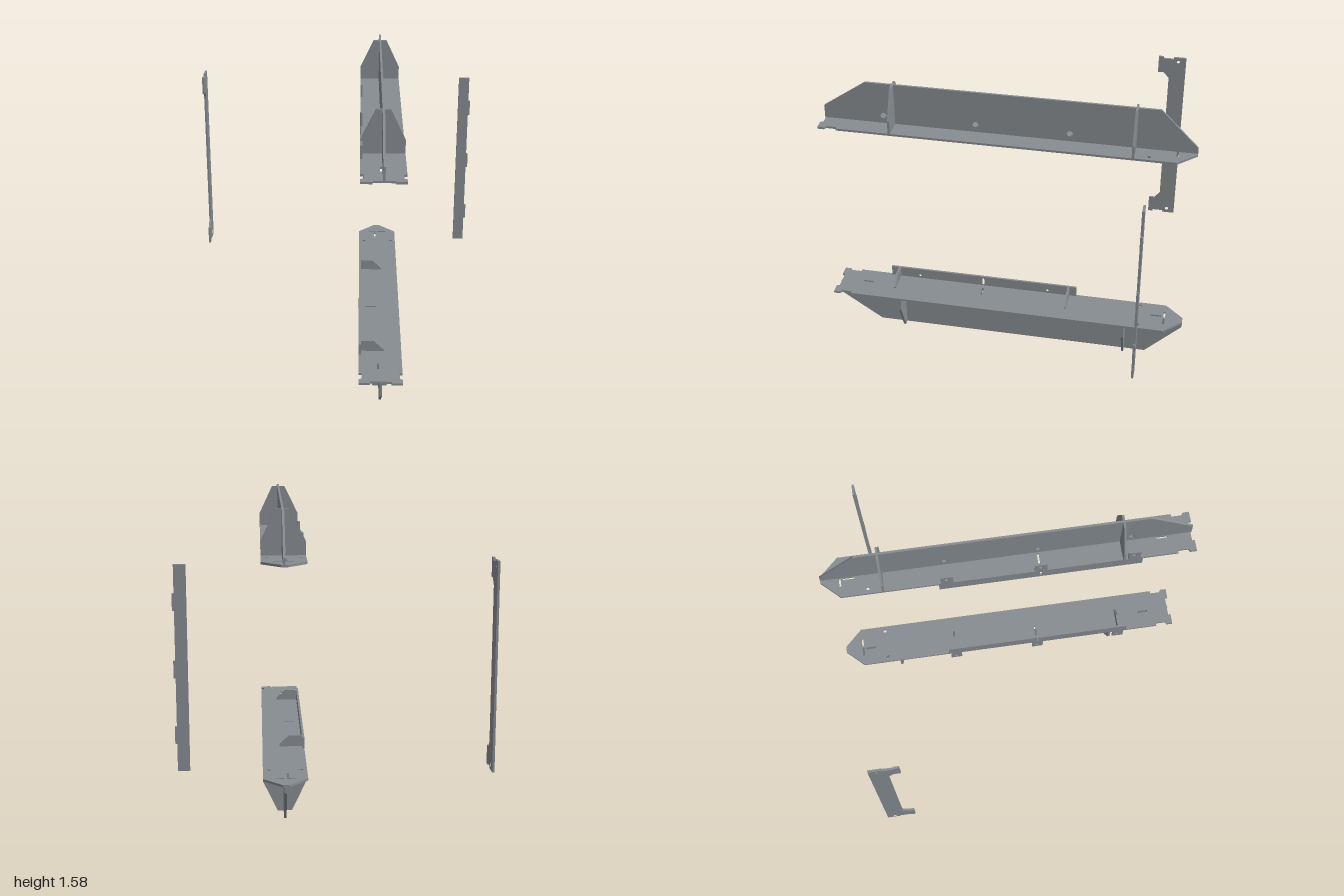
import * as THREE from 'three';

const material = new THREE.MeshStandardMaterial({ color: 0x868c91, flatShading: true });
const HEIGHT = 1.582;
const T = 0.012; // sheet thickness

// Hole outlines
const slot = (u0, v0, u1, v1) => [[u0, v0], [u1, v0], [u1, v1], [u0, v1]];
const round = (u, v, r) => Array.from({ length: 20 }, (_, i) => {
  const a = (i / 20) * Math.PI * 2;
  return [u + r * Math.cos(a), v + r * Math.sin(a)];
});

// Flat sheet cut from an outline; plane 'xy', 'zy' or 'xz', centred on `at` along its normal
function sheet(name, plane, at, outline, holes = []) {
  const toVectors = (pts) => pts.map(([u, v]) => new THREE.Vector2(u, v));
  const shape = new THREE.Shape(toVectors(outline));
  shape.holes = holes.map((h) => new THREE.Path(toVectors(h)));
  const geometry = new THREE.ExtrudeGeometry(shape, { depth: T, bevelEnabled: false });
  geometry.translate(0, 0, -T / 2);
  if (plane === 'zy') geometry.rotateY(-Math.PI / 2);
  if (plane === 'xz') geometry.rotateX(Math.PI / 2);
  const mesh = new THREE.Mesh(geometry, material);
  mesh.name = name;
  mesh.position[{ xy: 'z', zy: 'x', xz: 'y' }[plane]] = at;
  return mesh;
}

// One beam; the lower one is the upper one flipped in height
function createBeam(name, flip) {
  const group = new THREE.Group();
  group.name = name;
  const y = (v) => (flip ? HEIGHT - v : v);
  const up = (pts) => pts.map(([u, v]) => [u, y(v)]);
  const stations = [0.662, 0.162, -0.338];

  // Long horizontal flange with pointed back and notched front
  group.add(sheet('flange', 'xz', y(1.342), [
    [0.235, -1], [0.27, -1], [0.368, -0.9], [0.368, 0.9], [0.353, 0.9], [0.353, 0.955],
    [0.368, 0.965], [0.368, 1], [0.31, 1], [0.31, 0.985], [0.2, 0.985], [0.2, 1],
    [0.14, 1], [0.14, 0.965], [0.155, 0.955], [0.155, 0.9], [0.14, 0.9], [0.14, -0.9],
  ], [
    slot(0.2, -0.903, 0.247, -0.892), slot(0.261, -0.903, 0.308, -0.892),
    slot(0.236, -0.88, 0.247, -0.82), slot(0.236, 0.8, 0.247, 0.86),
    slot(0.18, 0.153, 0.24, 0.164),
    round(0.17, -0.755, 0.01), round(0.339, -0.755, 0.01),
  ]));

  // Upright web with bolt holes
  group.add(sheet('web', 'zy', 0.255, up([
    [0.99, 1.342], [0.99, 1.42], [0.755, HEIGHT], [-0.8, HEIGHT], [-1, 1.38], [-1, 1.342],
  ]), stations.map((z) => up(round(z + 0.002, 1.392, 0.016)))));

  // Cross gussets
  for (const z of [0.608, -0.677]) {
    group.add(sheet('gusset', 'xy', z, up([
      [0.14, 1.342], [0.14, 1.42], [0.218, HEIGHT], [0.292, HEIGHT], [0.368, 1.42], [0.368, 1.342],
    ])));
  }

  // Side rail with upright tabs, small holes and an open middle slot
  group.add(sheet('sideRail', 'zy', 0.146, up([
    [0.71, 1.276], [0.71, 1.342], [-0.383, 1.342], [-0.383, 1.276],
  ]), [
    up(slot(0.157, 1.287, 0.168, 1.332)),
    up(round(0.54, 1.318, 0.006)), up(round(-0.215, 1.318, 0.006)),
  ]));
  for (const z of stations) {
    group.add(sheet('railTab', 'zy', 0.146, up([
      [z - 0.033, 1.342], [z - 0.033, 1.42], [z + 0.033, 1.42], [z + 0.033, 1.342],
    ]), [up(round(z, 1.392, 0.012))]));
  }

  // Rail end brackets
  for (const z of [stations[0], stations[2]]) {
    group.add(sheet('railBracket', 'xy', z, up([
      [0.14, 1.342], [0.14, 1.276], [0.222, 1.276], [0.275, 1.328], [0.275, 1.342],
    ])));
  }
  return group;
}

export function createModel() {
  const model = new THREE.Group();
  model.name = 'frameKit';
  model.add(createBeam('upperBeam', false), createBeam('lowerBeam', true));

  // Loose post with a foot at each end, each foot relieved along its end edge
  const half = [[-0.86, 1.336], [-0.787, 1.336], [-0.787, 1.325], [-0.728, 1.325], [-0.728, 1.336],
    [-0.7, 1.336], [-0.7, 1.235], [-0.735, 1.235], [-0.765, 1.2]];
  const mirror = ([z, v]) => [z, HEIGHT - v];
  const postHole = round(-0.815, 1.308, 0.01);
  model.add(sheet('post', 'zy', -0.808, [...half, ...half.map(mirror).reverse()],
    [postHole, postHole.map(mirror)]));

  // Loose stiffener strip with three edge tabs
  const edge = [0.4475, 0.79, 1.1325].flatMap((c) => [
    [0.8, c - 0.045], [0.81, c - 0.045], [0.81, c + 0.045], [0.8, c + 0.045],
  ]);
  model.add(sheet('stiffener', 'xy', -0.778,
    [[0.738, 0.258], [0.8, 0.258], ...edge, [0.8, 1.322], [0.738, 1.322]]));
  return model;
}
